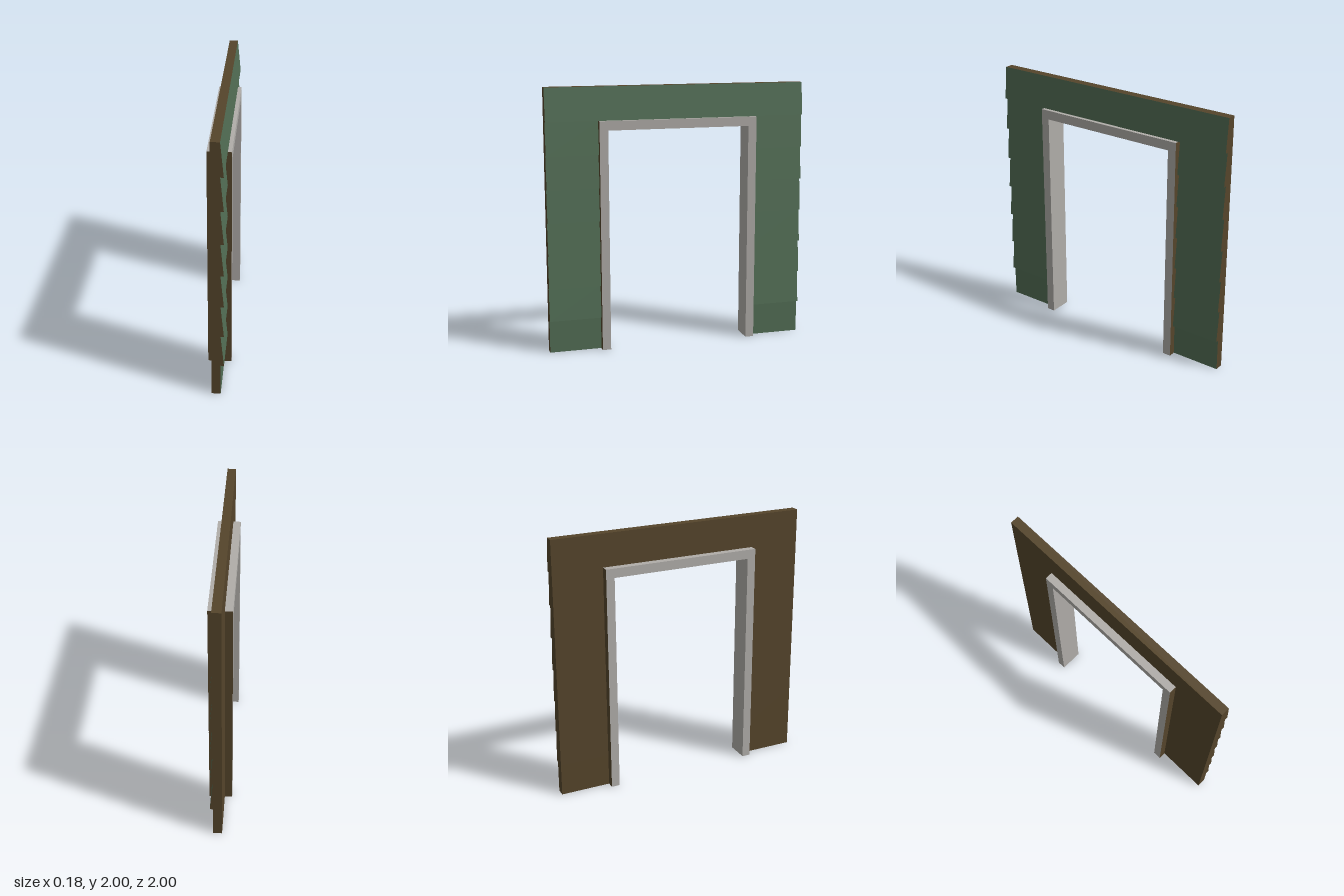
import * as THREE from 'three';

const mat = (name, color) => Object.assign(new THREE.MeshStandardMaterial({ color }), { name });

export function createModel() {
  const group = new THREE.Group();
  const green = mat('siding green', 0x526e55);
  const brown = mat('bare wood brown', 0x55452b);
  const grey = mat('trim grey', 0xb0ada9);

  // Box given by its limits; materials in the order +x -x +y -y +z -z
  function box(name, [x0, x1], [y0, y1], [z0, z1], materials) {
    const geo = new THREE.BoxGeometry(x1 - x0, y1 - y0, z1 - z0);
    geo.translate((x0 + x1) / 2, (y0 + y1) / 2, (z0 + z1) / 2);
    const mesh = new THREE.Mesh(geo, materials);
    mesh.name = name;
    group.add(mesh);
    return mesh;
  }

  // Wall course: green outer face leaning out to a lip at its lower edge
  const back = -0.033, face = 0.033, lip = 0.057, course = 0.25;
  const sided = [green, brown, brown, brown, brown, brown];
  function board(name, row, z) {
    const y0 = row * course;
    const mesh = box(name, [back, face], [y0, y0 + course], z, sided);
    if (row === 0) return; // the lowest course is upright
    const pos = mesh.geometry.attributes.position;
    for (let i = 0; i < pos.count; i++) {
      if (pos.getX(i) > 0 && pos.getY(i) < y0 + course / 2) pos.setX(i, lip);
    }
    mesh.geometry.computeVertexNormals();
  }

  const outer = [-0.615, 0.605], inner = [-0.55, 0.54];
  for (let row = 0; row < 7; row++) {
    board('leftWallBoard', row, [outer[1], 1]);
    board('rightWallBoard', row, [-1, outer[0]]);
  }
  board('topWallBoard', 7, [-1, 1]);

  // Door frame: grey trim with unpainted outer sides and feet
  const depth = [-0.09, 0.086];
  box('frontPost', depth, [0, 1.68], [inner[1], outer[1]], [grey, grey, grey, brown, brown, grey]);
  box('backPost', depth, [0, 1.68], [outer[0], inner[0]], [grey, grey, grey, brown, grey, brown]);
  box('lintel', depth, [1.68, 1.75], outer, [grey, grey, grey, grey, brown, brown]);

  return group;
}
